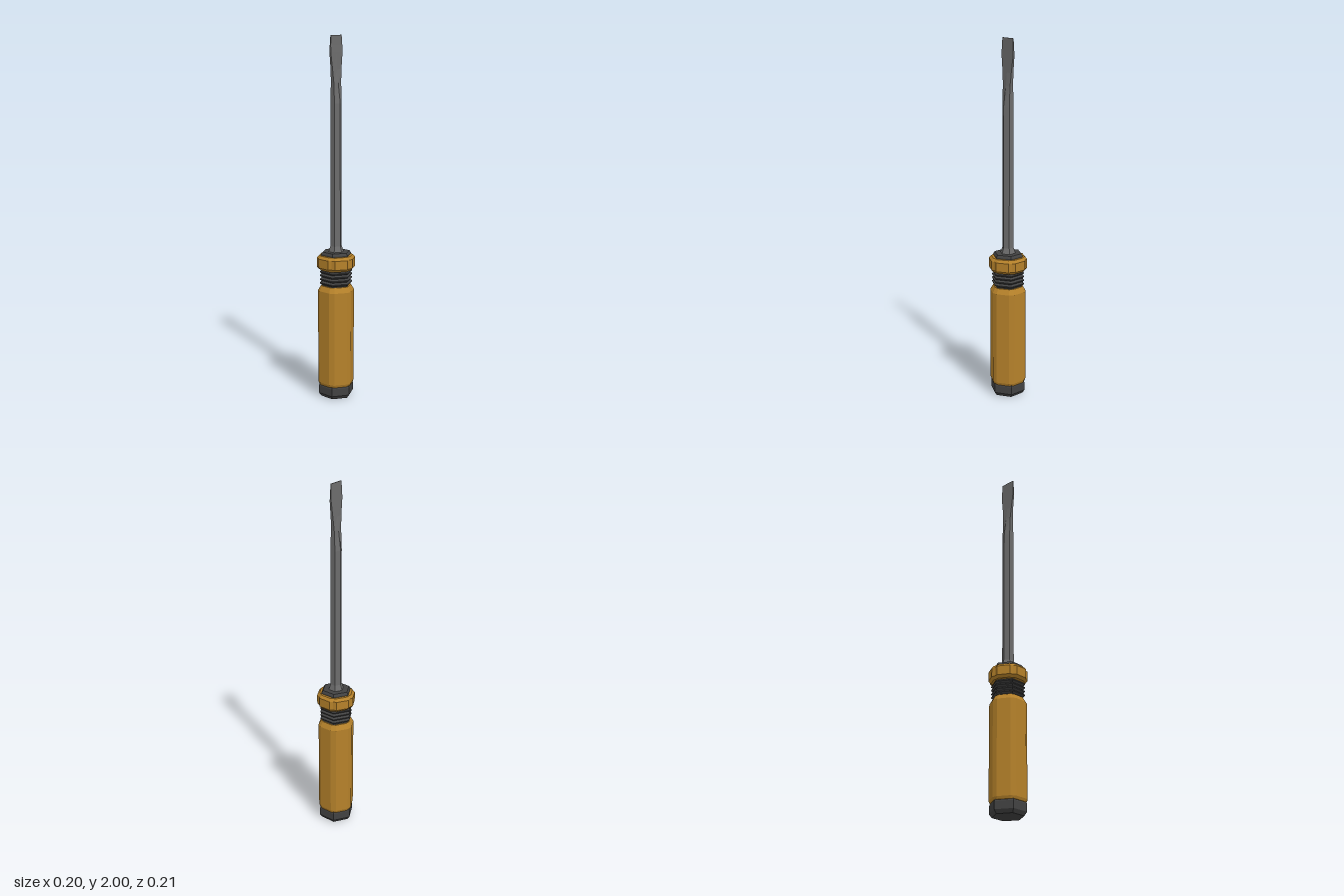
import * as THREE from 'three';

const flat = (name, color) => {
  const m = new THREE.MeshStandardMaterial({ color, flatShading: true });
  m.name = name;
  return m;
};

// Skin a stack of equal-length cross-sections (bottom to top) and close both ends.
function loft(rings) {
  const n = rings[0].length;
  const pos = rings.flat(2);
  const index = [];
  for (let r = 0; r < rings.length - 1; r++) {
    for (let i = 0; i < n; i++) {
      const a = r * n + i, b = r * n + (i + 1) % n;
      index.push(a, b, b + n, a, b + n, a + n);
    }
  }
  // End caps fan out from centre points
  [[0, rings[0][0][1]], [rings.length - 1, rings[rings.length - 1][0][1]]].forEach(([r, y], top) => {
    const c = pos.length / 3;
    pos.push(0, y, 0);
    for (let i = 0; i < n; i++) {
      const a = r * n + i, b = r * n + (i + 1) % n;
      if (top) index.push(c, a, b); else index.push(c, b, a);
    }
  });
  const g = new THREE.BufferGeometry();
  g.setAttribute('position', new THREE.Float32BufferAttribute(pos, 3));
  g.setIndex(index);
  const out = g.toNonIndexed();
  out.computeVertexNormals();
  return out;
}

const polar = (deg, r, y) => {
  const a = THREE.MathUtils.degToRad(deg);
  return [r * Math.sin(a), y, r * Math.cos(a)];
};

// Hexagon with corners on the z axis
const hex = (y, r) => [0, 1, 2, 3, 4, 5].map(i => polar(i * 60, r, y));

// Hexagon whose corners are cut; mid sets the radius at the middle of each cut
const cutHex = (y, r, half, mid) => [0, 1, 2, 3, 4, 5].flatMap(i => [
  polar(i * 60 - half, r, y), polar(i * 60, mid, y), polar(i * 60 + half, r, y)]);

// Shaft section: side half width, centre depth and side depth
const bladeRing = ([y, w, zc, zs]) =>
  [[0, y, zc], [w, y, zs], [w, y, -zs], [0, y, -zc], [-w, y, -zs], [-w, y, zs]];

export function createModel() {
  const amber = flat('amber handle', 0xb5812a);
  const dark = flat('dark rubber', 0x424242);
  const steel = flat('grey steel', 0x6c6c6c);

  const group = new THREE.Group();
  group.name = 'screwdriver';
  const add = (name, rings, material) => {
    const mesh = new THREE.Mesh(loft(rings), material);
    mesh.name = name;
    group.add(mesh);
  };

  // Butt cap with bevelled bottom
  add('endCap', [hex(0, 0.085), hex(0.02, 0.1), hex(0.062, 0.1), hex(0.075, 0.094)], dark);

  // Grip with flattened corners and bevelled ends
  const grip = (y, r) => cutHex(y, r, 8.5, r * Math.cos(THREE.MathUtils.degToRad(8.5)));
  add('grip', [grip(0.07, 0.094), grip(0.085, 0.1), grip(0.612, 0.1), grip(0.64, 0.083)], amber);

  // Ribbed neck
  const ribs = [hex(0.63, 0.082)];
  for (let i = 0; i < 4; i++) {
    const y = 0.645 + i * 0.021;
    ribs.push(hex(y, 0.08), hex(y + 0.008, 0.093), hex(y + 0.013, 0.093));
  }
  ribs.push(hex(0.729, 0.08), hex(0.745, 0.08));
  add('ribbedNeck', ribs, dark);

  // Collar with grooved corners
  add('collar', [
    cutHex(0.73, 0.092, 10.7, 0.088), cutHex(0.745, 0.106, 10.7, 0.1),
    cutHex(0.795, 0.106, 10.7, 0.1), cutHex(0.81, 0.092, 10.7, 0.09)], amber);

  // Flange around the shaft
  add('flange', [hex(0.8, 0.085), hex(0.817, 0.085), hex(0.829, 0.077)], dark);

  // Hexagonal shaft flattening into a flared blade
  add('shaftAndBlade', [
    [0.82, 0.04, 0.046, 0.023],
    [0.86, 0.028, 0.032, 0.016],
    [1.64, 0.028, 0.031, 0.0155],
    [1.75, 0.028, 0.016, 0.011],
    [1.82, 0.034, 0.008, 0.0075],
    [1.91, 0.045, 0.005, 0.005],
    [1.95, 0.044, 0.0035, 0.0035],
    [2.0, 0.041, 0.002, 0.002]].map(bladeRing), steel);

  return group;
}
